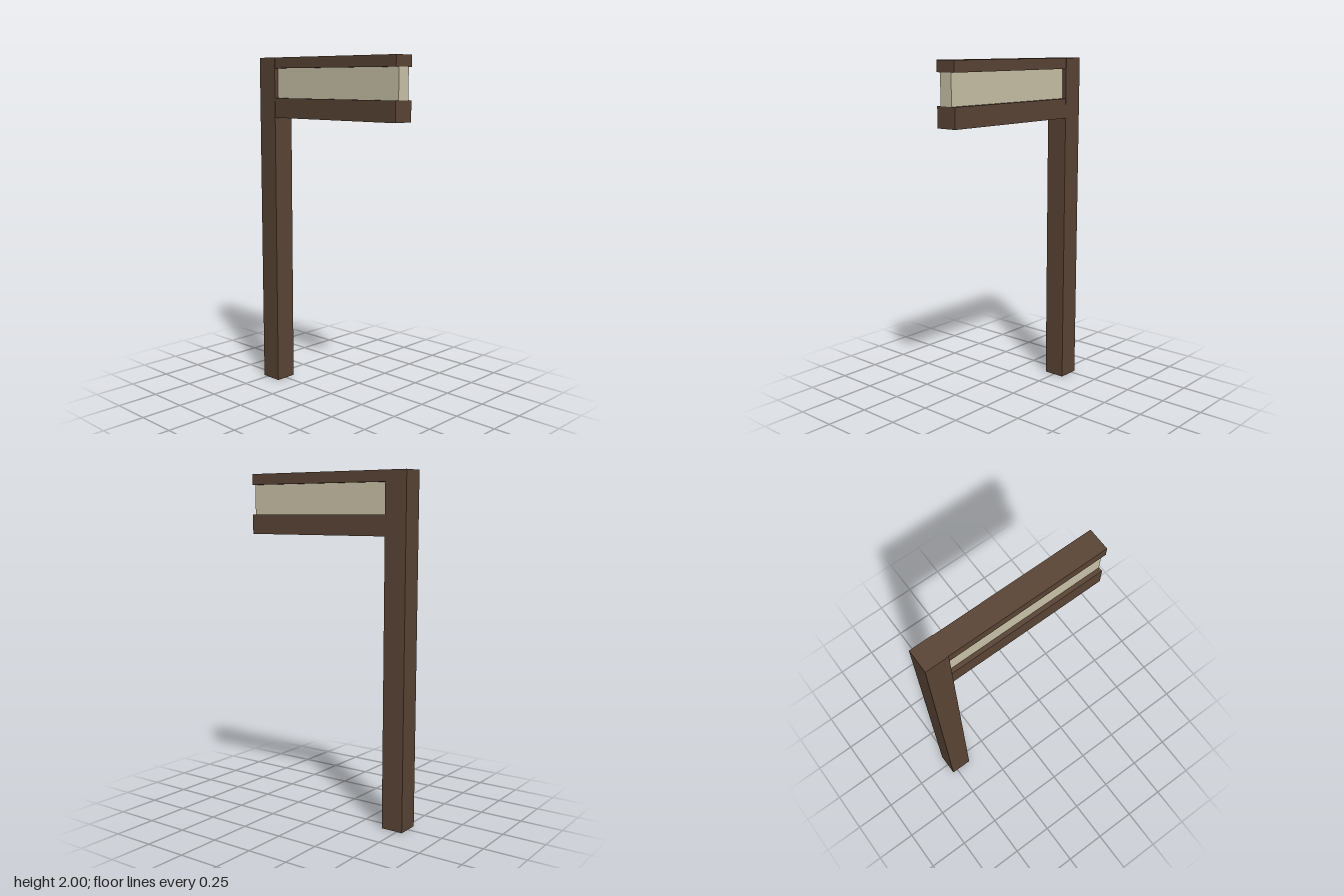
import * as THREE from 'three';

export function createModel() {
  const group = new THREE.Group();
  const wood = new THREE.MeshStandardMaterial({ color: 0x5a4535 });
  wood.name = 'dark brown wood';
  const cream = new THREE.MeshStandardMaterial({ color: 0xcbc3a9 });
  cream.name = 'cream panel';

  // Box given by its x and y extents and its full depth, centred on z = 0
  function addBox(name, x0, x1, y0, y1, depth, material) {
    const mesh = new THREE.Mesh(new THREE.BoxGeometry(x1 - x0, y1 - y0, depth), material);
    mesh.position.set((x0 + x1) / 2, (y0 + y1) / 2, 0);
    mesh.name = name;
    group.add(mesh);
  }

  // Upright post
  addBox('post', -0.533, -0.401, 0, 2, 0.133, wood);
  // Two rails of the arm, slightly thinner than the post
  addBox('topRail', -0.401, 0.533, 1.937, 2, 0.129, wood);
  addBox('bottomRail', -0.401, 0.533, 1.647, 1.763, 0.129, wood);
  // Recessed panel held between the rails
  addBox('panel', -0.401, 0.532, 1.763, 1.937, 0.08, cream);

  return group;
}
